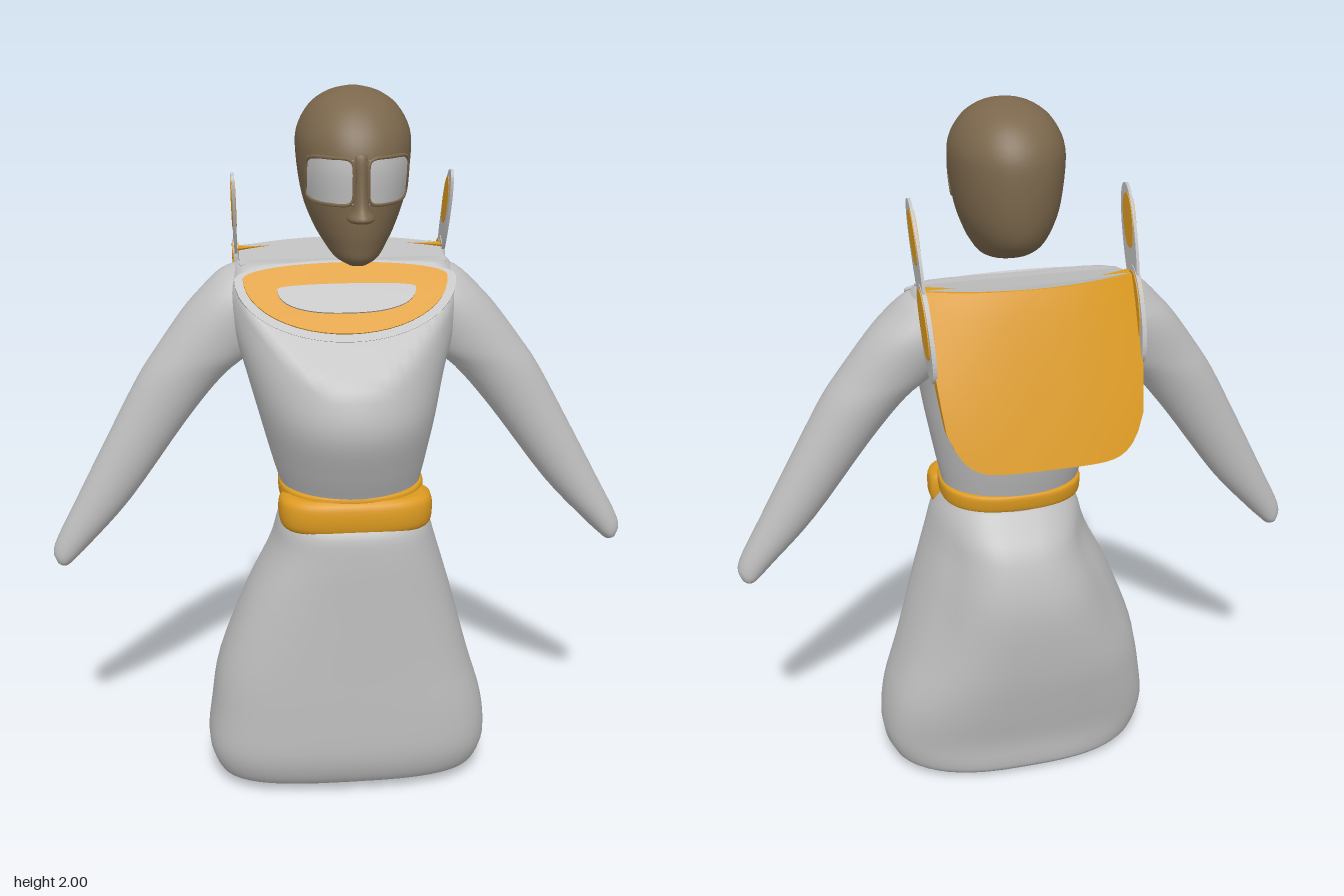
import * as THREE from 'three';

const mat = (name, color) => {
  const m = new THREE.MeshStandardMaterial({ color });
  m.name = name;
  return m;
};

const spow = (v, p) => Math.sign(v) * Math.pow(Math.abs(v), p);
const smooth = THREE.MathUtils.smoothstep;

// Catmull-Rom blend between rows of numbers
function blend(rows, t) {
  const i = Math.min(Math.floor(t), rows.length - 2), f = t - i;
  const at = k => rows[Math.max(0, Math.min(rows.length - 1, k))];
  const [a, b, c, d] = [at(i - 1), at(i), at(i + 1), at(i + 2)];
  return b.map((_, k) => b[k] + 0.5 * f * (c[k] - a[k] + f * (2 * a[k] - 5 * b[k] + 4 * c[k] - d[k]
    + f * (3 * (b[k] - c[k]) + d[k] - a[k]))));
}

// Closed body from rows [y, centreX, centreZ, halfWidth, frontDepth, backDepth]
function loft(rows, power = 2, adjust = null, seg = 48, sub = 4) {
  const pos = [], idx = [], n = (rows.length - 1) * sub;
  for (let i = 0; i <= n; i++) {
    const [y, cx, cz, rx, rf, rb] = blend(rows, i / sub);
    for (let j = 0; j < seg; j++) {
      const a = j / seg * Math.PI * 2, s = Math.sin(a), c = Math.cos(a);
      const p = new THREE.Vector3(cx + rx * spow(s, 2 / power), y, cz + (c > 0 ? rf : rb) * spow(c, 2 / power));
      if (adjust) adjust(p, cx, c);
      pos.push(p.x, p.y, p.z);
      const k = (j + 1) % seg, o = i * seg;
      if (i < n) idx.push(o + j, o + k, o + seg + j, o + k, o + seg + k, o + seg + j);
    }
  }
  const first = rows[0], last = rows[rows.length - 1], base = (n + 1) * seg;
  pos.push(first[1], first[0], first[2], last[1], last[0], last[2]);
  for (let j = 0; j < seg; j++) {
    const k = (j + 1) % seg;
    idx.push(base, k, j, base + 1, n * seg + j, n * seg + k);
  }
  const g = new THREE.BufferGeometry();
  g.setAttribute('position', new THREE.Float32BufferAttribute(pos, 3));
  g.setIndex(idx);
  g.computeVertexNormals();
  return g;
}

// Oval with different upper and lower heights
function oval(w, up, down, power = 2) {
  const pts = [];
  for (let i = 0; i < 48; i++) {
    const a = i / 48 * Math.PI * 2, s = spow(Math.sin(a), 2 / power);
    pts.push(new THREE.Vector2(w * spow(Math.cos(a), 2 / power), s > 0 ? up * s : down * s));
  }
  return new THREE.Shape(pts);
}
const plate = (shape, depth) => new THREE.ExtrudeGeometry(shape, { depth, bevelEnabled: false });

export function createModel() {
  const root = new THREE.Group();
  const grey = mat('pale grey', 0xbfbfbf), orange = mat('golden orange', 0xdc9a20), brown = mat('brown', 0x7b674c);
  const add = (name, geo, m, parent = root) => {
    const mesh = new THREE.Mesh(geo, m);
    mesh.name = name;
    parent.add(mesh);
    return mesh;
  };

  // Skirt: broad flat front, back pinched below the waist
  add('skirt', loft([
    [0, 0.01, 0.04, 0.29, 0.1, 0.14], [0.02, 0.012, 0.04, 0.35, 0.15, 0.17], [0.05, 0.015, 0.04, 0.383, 0.195, 0.18],
    [0.13, 0.015, 0.04, 0.407, 0.225, 0.187], [0.25, 0.015, 0.04, 0.395, 0.23, 0.215], [0.4, 0.005, 0.04, 0.36, 0.23, 0.245],
    [0.6, 0.015, 0.04, 0.295, 0.23, 0.26], [0.75, 0.03, 0.04, 0.235, 0.23, 0.225], [0.83, 0.03, 0.05, 0.21, 0.21, 0.18],
    [0.88, 0.03, 0.05, 0.18, 0.16, 0.14],
  ], 3, (p, cx, c) => {
    const pinch = 0.13 * smooth(p.y, 0.2, 0.6) * (1 - smooth(p.y, 0.72, 0.88));
    p.x = cx + (p.x - cx) * (1 + 0.17 * Math.min(0, c) - pinch * smooth(-c, -0.1, 0.45));
  }), grey);

  // Torso: chest is cut by a sloping plane under the neckline
  add('torso', loft([
    [0.84, 0.03, 0.05, 0.18, 0.17, 0.14], [0.9, 0.025, 0.05, 0.19, 0.18, 0.15], [1.0, 0.02, 0.05, 0.215, 0.23, 0.18],
    [1.13, 0.015, 0.05, 0.245, 0.28, 0.21], [1.25, 0.01, 0.05, 0.272, 0.255, 0.22], [1.37, 0.01, 0.03, 0.305, 0.22, 0.2],
    [1.46, 0.01, 0, 0.315, 0.22, 0.16], [1.52, 0.01, -0.02, 0.295, 0.16, 0.13], [1.535, 0.01, -0.02, 0.27, 0.06, 0.11],
  ], 2.1, p => { p.z = Math.min(p.z, (1.5725 - p.y) / 1.0625); }, 64), grey);

  // Arms: the right one is slimmer from front to back and hangs slightly lower
  for (const s of [1, -1]) {
    const drop = s > 0 ? 0 : 0.025, back = s > 0 ? 0 : 0.015, slim = s > 0 ? 1 : 0.88;
    add(s > 0 ? 'leftArm' : 'rightArm', loft([
      [0.7, 0.785, 0.03, 0.012, 0.02, 0.02], [0.715, 0.783, 0.03, 0.026, 0.04, 0.04], [0.76, 0.76, 0.03, 0.05, 0.05, 0.05],
      [0.89, 0.665, 0.025, 0.077, 0.065, 0.065], [1.11, 0.523, 0.018, 0.1, 0.08, 0.085],
      [1.23, 0.438, 0.015, 0.118, 0.09, 0.1], [1.3, 0.37, 0.01, 0.138, 0.1, 0.105], [1.4, 0.295, 0, 0.138, 0.11, 0.11],
      [1.46, 0.26, 0, 0.118, 0.095, 0.1], [1.508, 0.25, -0.005, 0.075, 0.06, 0.075], [1.528, 0.25, -0.01, 0.02, 0.02, 0.03],
    ].map(([y, x, z, w, f, b]) => [y - drop * (1.53 - y) / 0.83, s * x, z - back, w, f * slim, b * slim]), 2, null, 28), grey);
  }

  // Belt: thick front roll and thin band all round
  add('beltFront', loft([
    [0.82, 0.03, 0.13, 0.19, 0.11, 0.03], [0.835, 0.03, 0.13, 0.208, 0.125, 0.035], [0.87, 0.03, 0.13, 0.213, 0.13, 0.04],
    [0.905, 0.03, 0.13, 0.208, 0.125, 0.035], [0.92, 0.03, 0.13, 0.185, 0.11, 0.03],
  ], 3), orange);
  add('waistBand', loft([
    [0.882, 0.025, 0.05, 0.19, 0.18, 0.15], [0.887, 0.025, 0.05, 0.2, 0.19, 0.16],
    [0.925, 0.025, 0.05, 0.202, 0.195, 0.165], [0.932, 0.025, 0.05, 0.19, 0.18, 0.15],
  ], 2.4), orange);

  // Neckline plates on the sloping chest
  const neckline = new THREE.Group();
  neckline.name = 'neckline';
  neckline.position.set(0.01, 1.525, 0.036);
  neckline.rotation.x = -0.755;
  root.add(neckline);
  const rim = add('necklineRim', plate(oval(0.298, 0.055, 0.195), 0.008), grey, neckline);
  const panel = add('necklinePanel', plate(oval(0.275, 0.045, 0.172), 0.008), orange, neckline);
  const inset = add('necklineInset', plate(oval(0.185, 0.014, 0.075, 2.4), 0.008), grey, neckline);
  rim.position.set(0, -0.043, 0);
  panel.position.set(0, -0.043, 0.004);
  inset.position.set(0, -0.08, 0.009);

  // Shoulder shelf between the fins, rising toward the cape
  const shelf = new THREE.Shape();
  shelf.moveTo(-0.28, -0.02);
  shelf.lineTo(0.28, -0.02);
  shelf.lineTo(0.28, 0.115);
  shelf.quadraticCurveTo(0, 0.235, -0.28, 0.115);
  const shelfGeo = plate(shelf, 0.025);
  shelfGeo.rotateX(-Math.PI / 2 + 0.17);
  add('shoulderShelf', shelfGeo, grey).position.set(0.01, 1.508, 0);

  // Back cape: bent slab with rounded lower corners, thinning at the hem
  const cape = new THREE.BoxGeometry(2, 1, 1, 28, 16, 1), cp = cape.attributes.position;
  for (let i = 0; i < cp.count; i++) {
    const u = cp.getX(i), v = 0.5 - cp.getY(i);
    const y = THREE.MathUtils.lerp(1.552, 1.11 + 0.11 * Math.pow(Math.abs(u), 7), v);
    const t = (1.552 - y) / 0.442;
    const bow = 0.06 * (1 - t) * (1 - t) + 0.02 * t;
    const z = -0.175 - 0.155 * Math.pow(t, 0.9) + bow * Math.pow(Math.abs(u), 2.5);
    cp.setXYZ(i, 0.01 + u * (0.287 - 0.02 * v * v), y, z + (cp.getZ(i) > 0 ? 0.045 - 0.025 * Math.pow(v, 5) : 0));
  }
  cape.computeVertexNormals();
  add('cape', cape, orange);

  // Shoulder fins with orange patches on both faces
  for (const s of [1, -1]) {
    const fin = new THREE.Group();
    fin.name = s > 0 ? 'leftFin' : 'rightFin';
    fin.position.set(0.01 + s * 0.287, 1.545, -0.11);
    fin.rotation.z = -s * 0.03;
    root.add(fin);
    const part = (name, len, wid, y, z, thick, m) => {
      const g = plate(oval(wid, len, len, 2.2), thick);
      g.translate(0, 0, -thick / 2);
      g.rotateY(Math.PI / 2);
      const mesh = add(name, g, m, fin);
      mesh.position.set(0, y - 1.545, z + 0.11);
      mesh.rotation.x = 0.46;
    };
    part('upperFin', 0.145, 0.046, 1.638, -0.066, 0.008, grey);
    part('lowerFin', 0.13, 0.054, 1.452, -0.15, 0.012, grey);
    part('upperFinPatch', 0.073, 0.033, 1.68, -0.055, 0.012, orange);
    part('lowerFinPatch', 0.092, 0.04, 1.475, -0.146, 0.018, orange);
  }

  // Head
  const headRows = [
    [1.557, 0.03, 0.16, 0.025, 0.035, 0.05], [1.575, 0.03, 0.13, 0.058, 0.092, 0.1], [1.61, 0.03, 0.09, 0.085, 0.143, 0.16],
    [1.65, 0.03, 0.065, 0.108, 0.177, 0.185], [1.72, 0.03, 0.05, 0.134, 0.199, 0.193], [1.82, 0.03, 0.05, 0.149, 0.205, 0.2],
    [1.89, 0.03, 0.05, 0.147, 0.185, 0.188], [1.95, 0.03, 0.05, 0.115, 0.137, 0.145],
    [1.985, 0.03, 0.05, 0.066, 0.077, 0.082], [2, 0.03, 0.05, 0.008, 0.008, 0.008],
  ];
  const head = new THREE.Group();
  head.name = 'head';
  root.add(head);
  add('mask', loft(headRows, 2.1), brown, head);
  const faceZ = (x, y) => {
    const i = Math.max(0, headRows.findIndex(r => r[0] > y) - 1);
    const [, cx, cz, rx, rf] = blend(headRows, i + (y - headRows[i][0]) / (headRows[i + 1][0] - headRows[i][0]));
    const d = Math.min(1, Math.abs(x - cx) / rx);
    return cz + rf * Math.pow(1 - Math.pow(d, 2.1), 1 / 2.1);
  };

  // Eye panes curved onto the mask, each with a slim frame
  for (const s of [1, -1]) {
    const ex = 0.03 + s * 0.074, ey = 1.782;
    const pane = new THREE.PlaneGeometry(0.108, 0.112, 10, 6);
    pane.translate(ex, ey, 0);
    const pp = pane.attributes.position;
    for (let i = 0; i < pp.count; i++) pp.setZ(i, faceZ(pp.getX(i), pp.getY(i)) + 0.004);
    pane.computeVertexNormals();
    add(s > 0 ? 'leftEyePane' : 'rightEyePane', pane, grey, head);
    const pts = [];
    for (let i = 0; i < 32; i++) {
      const a = i / 32 * Math.PI * 2;
      const x = ex + 0.056 * spow(Math.cos(a), 0.35), y = ey + 0.059 * spow(Math.sin(a), 0.35);
      pts.push(new THREE.Vector3(x, y, faceZ(x, y) + 0.002));
    }
    add('eyeFrame', new THREE.TubeGeometry(new THREE.CatmullRomCurve3(pts, true), 64, 0.005, 6, true), brown, head);
  }

  // Nose: wedge widening toward its tip
  add('nose', loft([
    [1.682, 0.03, 0.24, 0.03, 0.042, 0.02], [1.692, 0.03, 0.24, 0.036, 0.052, 0.02], [1.72, 0.03, 0.24, 0.022, 0.036, 0.02],
    [1.78, 0.03, 0.24, 0.017, 0.025, 0.02], [1.84, 0.03, 0.235, 0.022, 0.024, 0.02], [1.855, 0.03, 0.225, 0.02, 0.02, 0.02],
  ], 2, null, 16), brown, head);

  return root;
}
